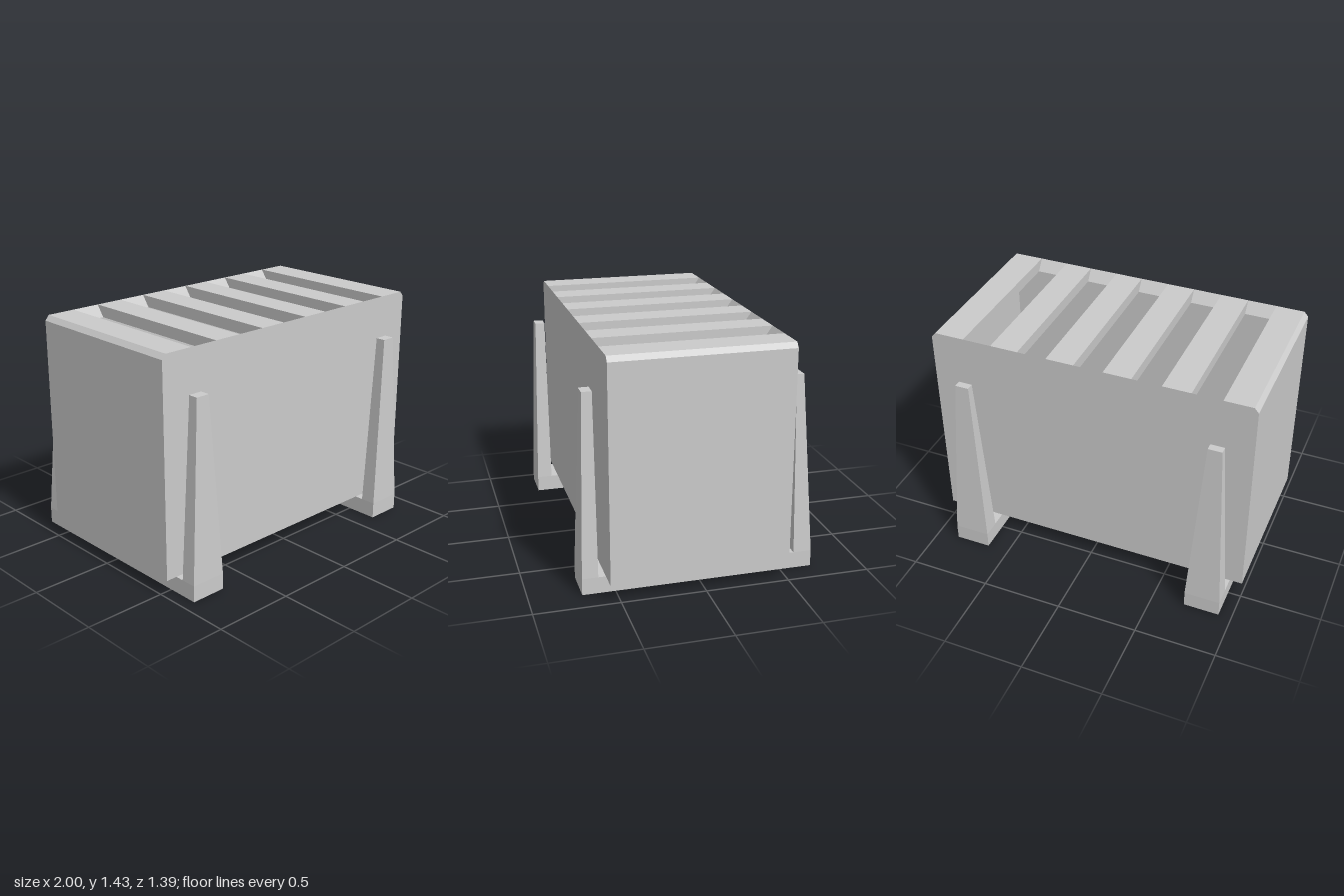
import * as THREE from 'three';

const mat = new THREE.MeshStandardMaterial({ color: 0xcccccc, flatShading: true });

// Body extents
const BOTTOM = 0.11, TOP = 1.43, UNDER = 1.36, FRONT = 0.56, BACK = -0.5, WALL = 0.05;
// Slots between the slats
const SLOT0 = -0.8, SLOT_W = 0.18, PITCH = 0.3525, SLOTS = 5;

function add(parent, name, geometry) {
  const mesh = new THREE.Mesh(geometry, mat);
  mesh.name = name;
  parent.add(mesh);
  return mesh;
}

// Box given by its limits on each axis
function box(x0, x1, y0, y1, z0, z1) {
  return new THREE.BoxGeometry(x1 - x0, y1 - y0, z1 - z0)
    .translate((x0 + x1) / 2, (y0 + y1) / 2, (z0 + z1) / 2);
}

function extrude(points, depth) {
  const shape = new THREE.Shape(points.map(([a, b]) => new THREE.Vector2(a, b)));
  return new THREE.ExtrudeGeometry(shape, { depth, bevelEnabled: false });
}

// End wall with its bevelled top edge and the outermost slat in one profile
function endWall(side, slatEdge) {
  const s = side;
  const points = [
    [s, BOTTOM], [s, 1.4], [s * 0.975, TOP], [slatEdge, TOP],
    [slatEdge, UNDER], [s * (1 - WALL), UNDER], [s * (1 - WALL), BOTTOM],
  ];
  return extrude(points, FRONT - BACK).translate(0, 0, BACK);
}

// Long wall whose top slopes inward, so every slot has a slanted end
function longWall(outer, inner) {
  const length = 2 - 2 * WALL;
  const points = [[-outer, BOTTOM], [-outer, TOP], [-inner, UNDER], [-inner, BOTTOM]];
  return extrude(points, length).rotateY(Math.PI / 2).translate(-length / 2, 0, 0);
}

// Post that narrows towards its top, flat on the side facing the body
function post(inner, outerLow, outerHigh) {
  const y0 = 0.1, y1 = 1.185;
  const g = new THREE.BoxGeometry(1, 1, 1);
  const p = g.attributes.position;
  const s = Math.sign(inner);
  for (let i = 0; i < p.count; i++) {
    const high = p.getY(i) > 0;
    const outside = p.getZ(i) * s > 0;
    p.setXYZ(i,
      Math.sign(p.getX(i)) * (high ? 0.0425 : 0.11),
      high ? y1 : y0,
      outside ? (high ? outerHigh : outerLow) : inner);
  }
  g.computeVertexNormals();
  return g;
}

export function createModel() {
  const model = new THREE.Group();
  model.name = 'slattedCrate';

  // Hollow body
  const body = new THREE.Group();
  body.name = 'body';
  model.add(body);
  add(body, 'rightEndWall', endWall(-1, SLOT0));
  add(body, 'leftEndWall', endWall(1, SLOT0 + (SLOTS - 1) * PITCH + SLOT_W));
  add(body, 'frontWall', longWall(FRONT, FRONT - WALL));
  add(body, 'backWall', longWall(BACK, BACK + WALL));
  add(body, 'floor', box(-0.95, 0.95, BOTTOM, BOTTOM + WALL, BACK + WALL, FRONT - WALL));

  // Slats across the top
  for (let i = 0; i < SLOTS - 1; i++) {
    const x = SLOT0 + i * PITCH;
    add(body, 'slat', box(x + SLOT_W, x + PITCH, UNDER, TOP, BACK, FRONT));
  }

  // Two U-shaped stands: a runner on the ground and a tapered post at each end
  for (const x of [-0.81, 0.75]) {
    const stand = new THREE.Group();
    stand.name = 'stand';
    stand.position.x = x;
    add(stand, 'runner', box(-0.11, 0.11, 0, 0.1, -0.695, 0.695));
    add(stand, 'frontPost', post(0.6, 0.695, 0.66));
    add(stand, 'backPost', post(-0.585, -0.695, -0.63));
    model.add(stand);
  }
  return model;
}
